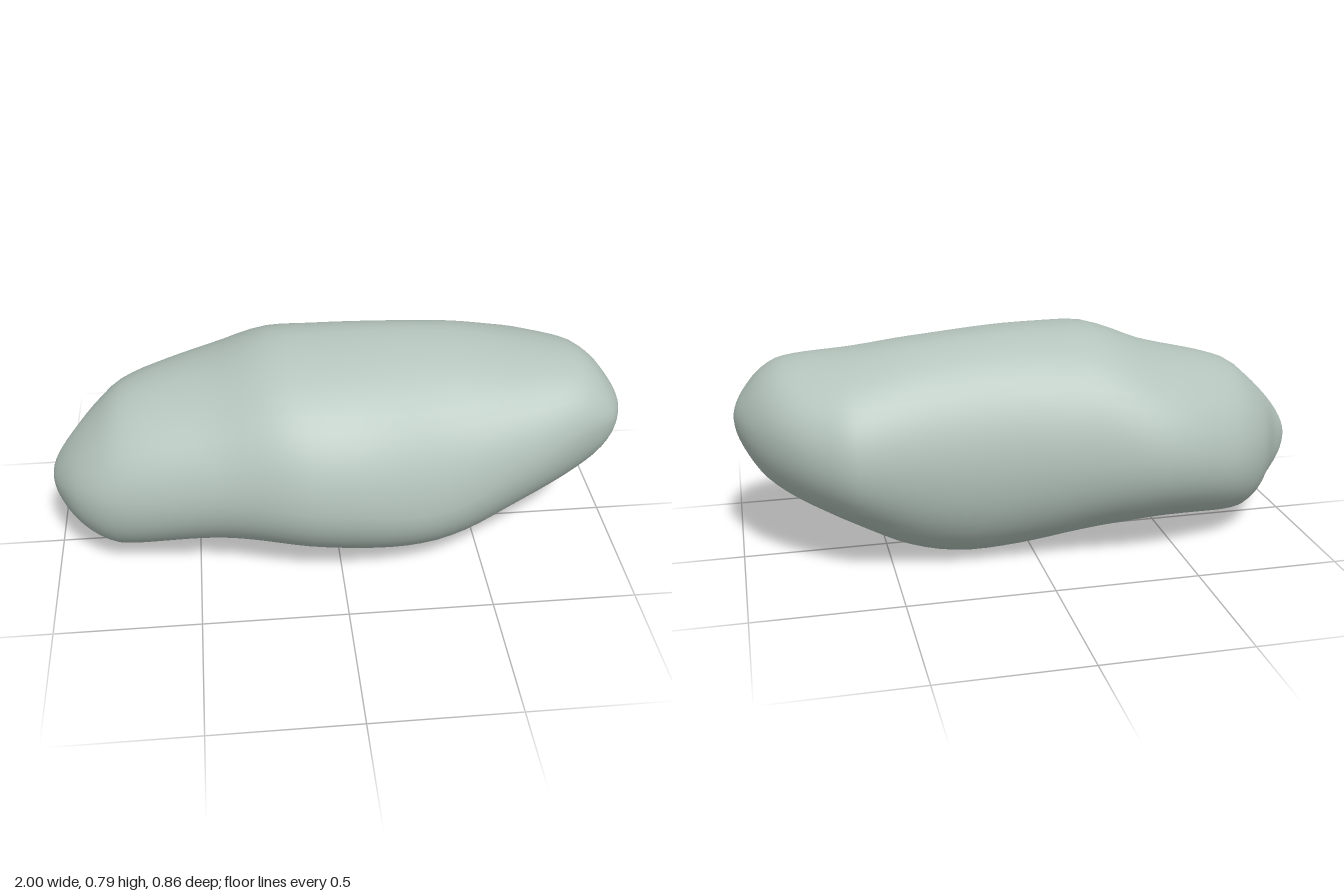
import * as THREE from 'three';

// Each profile is a list of [x, value] pairs running from the left tip to the right tip.
const top = [[-1, .3], [-.97, .39], [-.9, .48], [-.83, .55], [-.75, .615], [-.45, .7], [-.17, .79], [0, .79],
  [.38, .77], [.6, .74], [.83, .71], [.9, .67], [.96, .6], [1, .5]];
const bottom = [[-1, .3], [-.98, .22], [-.92, .14], [-.83, .07], [-.77, .05], [-.45, .07], [-.3, .06], [.1, .005],
  [.2, 0], [.3, .007], [.42, .035], [.65, .15], [.9, .3], [.97, .4], [1, .5]];
const front = [[-1, 0], [-.97, .1], [-.9, .2], [-.79, .27], [-.4, .35], [-.07, .425], [0, .425], [.4, .37],
  [.65, .31], [.85, .24], [.95, .18], [.99, .1], [1, .04]];
const back = [[-1, 0], [-.94, -.08], [-.82, -.25], [-.67, -.36], [-.39, -.435], [-.1, -.4], [.15, -.38],
  [.62, -.39], [.73, -.34], [.85, -.25], [.95, -.12], [.99, -.02], [1, .04]];
// Heights of the widest points, and sideways shift of the highest and lowest points
const frontY = [[-1, .3], [-.75, .33], [-.3, .38], [0, .36], [.3, .32], [.6, .42], [.9, .52], [1, .5]];
const backY = [[-1, .3], [-.75, .33], [-.39, .39], [.2, .4], [.6, .43], [.9, .5], [1, .5]];
const topZ = [[-1, 0], [-.17, -.05], [.4, -.07], [.8, 0], [1, .04]];
const bottomZ = [[-1, 0], [-.77, 0], [.2, -.06], [.6, -.02], [1, .04]];

// Monotone cubic curve through a profile, spaced by angle so the tips come out round
function curve(points) {
  const t = points.map(p => Math.acos(-p[0]));
  const v = points.map(p => p[1]);
  const n = t.length;
  const d = t.slice(1).map((s, i) => (v[i + 1] - v[i]) / (s - t[i]));
  const m = t.map((_, i) => {
    if (i === 0) return d[0];
    if (i === n - 1) return d[n - 2];
    return d[i - 1] * d[i] <= 0 ? 0 : 2 * d[i - 1] * d[i] / (d[i - 1] + d[i]);
  });
  return a => {
    let i = 0;
    while (i < n - 2 && a > t[i + 1]) i++;
    const h = t[i + 1] - t[i], s = (a - t[i]) / h, s2 = s * s, s3 = s2 * s;
    return (2 * s3 - 3 * s2 + 1) * v[i] + (s3 - 2 * s2 + s) * h * m[i]
      + (3 * s2 - 2 * s3) * v[i + 1] + (s3 - s2) * h * m[i + 1];
  };
}

// Skin of cross-sections, each made of four quarter ellipses
function stoneGeometry(rings, sides) {
  const [T, B, F, K, FY, KY, TZ, BZ] = [top, bottom, front, back, frontY, backY, topZ, bottomZ].map(curve);
  const pos = [-1, .3, 0], index = [];
  for (let i = 1; i < rings; i++) {
    const a = Math.PI * i / rings;
    for (let j = 0; j < sides; j++) {
      const b = 2 * Math.PI * j / sides, c = Math.cos(b), s = Math.sin(b);
      const sideY = s >= 0 ? FY(a) : KY(a), sideZ = s >= 0 ? F(a) : K(a);
      const capY = c >= 0 ? T(a) : B(a), capZ = c >= 0 ? TZ(a) : BZ(a);
      pos.push(-Math.cos(a), sideY + (capY - sideY) * Math.abs(c), capZ + (sideZ - capZ) * Math.abs(s));
    }
  }
  pos.push(1, .5, .04);
  const last = pos.length / 3 - 1;
  const at = (i, j) => i === 0 ? 0 : i === rings ? last : 1 + (i - 1) * sides + j % sides;
  for (let i = 0; i < rings; i++) {
    for (let j = 0; j < sides; j++) {
      const a = at(i, j), b = at(i, j + 1), c = at(i + 1, j), d = at(i + 1, j + 1);
      if (i > 0) index.push(a, b, c);
      if (i < rings - 1) index.push(b, d, c);
    }
  }
  const geometry = new THREE.BufferGeometry();
  geometry.setAttribute('position', new THREE.Float32BufferAttribute(pos, 3));
  geometry.setIndex(index);
  geometry.computeVertexNormals();
  return geometry;
}

export function createModel() {
  const group = new THREE.Group();
  group.name = 'pebble';
  const stone = new THREE.Mesh(stoneGeometry(56, 48), new THREE.MeshStandardMaterial({ color: 0xb4c4bc }));
  stone.name = 'stone';
  group.add(stone);
  return group;
}
